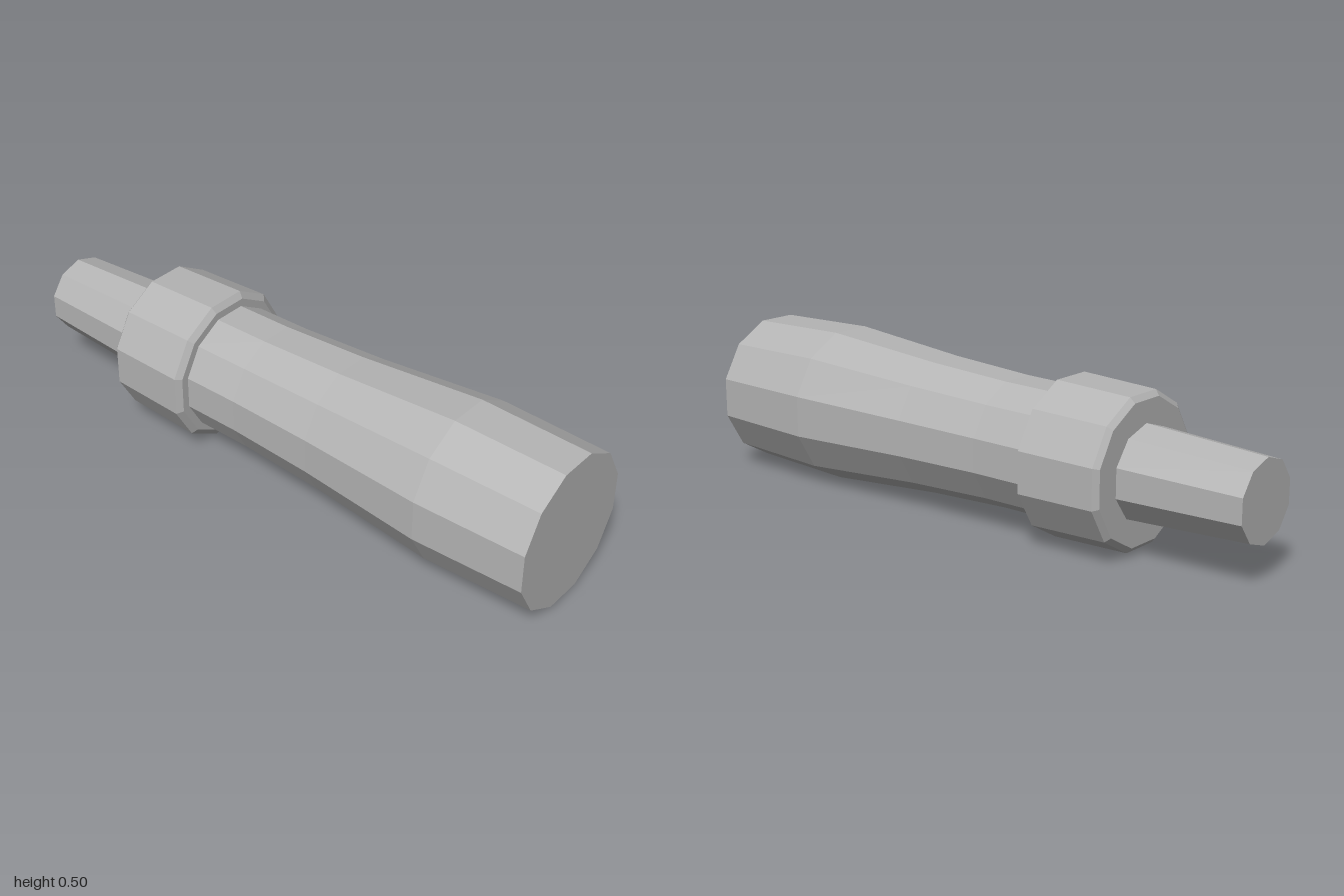
import * as THREE from 'three';

const AXIS_Y = 0.252;

export function createModel() {
  const group = new THREE.Group();
  group.name = 'handle';
  const grey = new THREE.MeshStandardMaterial({ color: 0xb4b4b4, flatShading: true });
  grey.name = 'grey';

  // Faceted solid turned around the x axis from [x, radius] pairs
  function turned(name, profile, sides, start) {
    const points = profile.map(([x, r]) => new THREE.Vector2(r, x));
    const geometry = new THREE.LatheGeometry(points, sides, start);
    geometry.rotateZ(-Math.PI / 2);
    geometry.translate(0, AXIS_Y, 0);
    const mesh = new THREE.Mesh(geometry, grey);
    mesh.name = name;
    group.add(mesh);
  }

  // Twelve-sided parts have a flat on top, so convert flat distance to corner radius
  const corner = (profile) => profile.map(([x, a]) => [x, a / Math.cos(Math.PI / 12)]);

  // Swelling grip with flat butt
  turned('grip', corner([
    [-0.32, 0], [-0.32, 0.201], [-0.1, 0.203], [0.2, 0.217],
    [0.63, 0.2515], [1, 0.241], [1, 0],
  ]), 12, Math.PI / 12);

  // Chamfered collar
  turned('collar', corner([
    [-0.59, 0], [-0.59, 0.22], [-0.575, 0.237], [-0.31, 0.246],
    [-0.295, 0.226], [-0.295, 0],
  ]), 12, Math.PI / 12);

  // Ten-sided tapered tang with a corner on top
  turned('tang', [
    [-1, 0], [-1, 0.129], [-0.57, 0.151], [-0.57, 0],
  ], 10, Math.PI / 10);

  return group;
}
